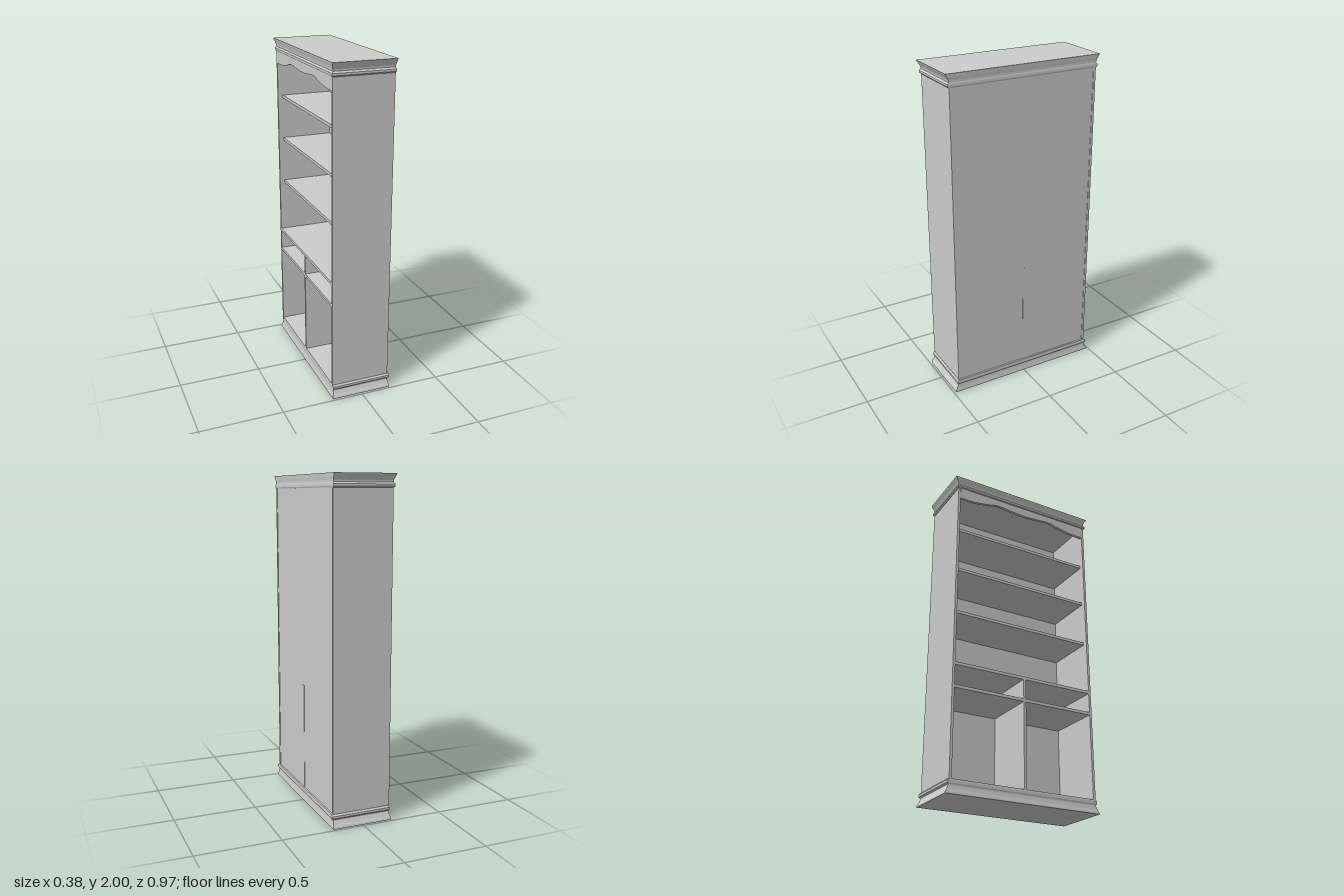
import * as THREE from 'three';

const material = new THREE.MeshStandardMaterial({ color: 0xcccccc, flatShading: true, side: THREE.DoubleSide });

// Box given by its lower and upper limits on each axis
function board(name, [x0, x1], [y0, y1], [z0, z1]) {
  const mesh = new THREE.Mesh(new THREE.BoxGeometry(x1 - x0, y1 - y0, z1 - z0), material);
  mesh.position.set((x0 + x1) / 2, (y0 + y1) / 2, (z0 + z1) / 2);
  mesh.name = name;
  return mesh;
}

// Solid moulding lofted through rectangles [y, xMin, xMax, zHalf], listed bottom to top
function moulding(name, levels) {
  const rings = levels.map(([y, x0, x1, z]) => [[x0, y, z], [x1, y, z], [x1, y, -z], [x0, y, -z]]);
  const positions = [];
  const quad = (a, b, c, d) => positions.push(...a, ...b, ...c, ...a, ...c, ...d);
  for (let i = 0; i < rings.length - 1; i++) {
    const lo = rings[i], hi = rings[i + 1];
    for (let k = 0; k < 4; k++) {
      const n = (k + 1) % 4;
      quad(lo[k], lo[n], hi[n], hi[k]);
    }
  }
  quad(...rings[rings.length - 1]);
  quad(...[...rings[0]].reverse());
  const geometry = new THREE.BufferGeometry();
  geometry.setAttribute('position', new THREE.Float32BufferAttribute(positions, 3));
  geometry.computeVertexNormals();
  const mesh = new THREE.Mesh(geometry, material);
  mesh.name = name;
  return mesh;
}

export function createModel() {
  const group = new THREE.Group();
  group.name = 'bookcase';

  // Plinth: flared foot, hollow neck and bead
  group.add(moulding('baseMoulding', [
    [0, -0.184, 0.185, 0.487],
    [0.01, -0.183, 0.184, 0.485],
    [0.025, -0.179, 0.181, 0.476],
    [0.045, -0.176, 0.179, 0.468],
    [0.052, -0.176, 0.181, 0.468],
    [0.06, -0.178, 0.189, 0.475],
    [0.073, -0.178, 0.189, 0.475],
    [0.083, -0.177, 0.188, 0.466],
    [0.083, -0.177, 0.178, 0.466],
  ]));

  // Crown: bead, neck and flared cornice
  group.add(moulding('crownMoulding', [
    [1.922, -0.18, 0.178, 0.466],
    [1.93, -0.186, 0.181, 0.475],
    [1.942, -0.186, 0.181, 0.475],
    [1.952, -0.179, 0.179, 0.466],
    [1.962, -0.18, 0.179, 0.467],
    [1.978, -0.184, 0.181, 0.475],
    [1.992, -0.189, 0.182, 0.484],
    [2, -0.19, 0.183, 0.487],
  ]));

  // Side walls
  for (const s of [1, -1]) {
    const z = [0.45 * s, 0.465 * s].sort((a, b) => a - b);
    group.add(board(s > 0 ? 'leftSidePanel' : 'rightSidePanel', [-0.18, 0.18], [0.07, 1.935], z));
  }

  // Back wall and the central divider that runs through it
  group.add(board('backPanel', [0.165, 0.177], [0.07, 1.935], [-0.452, 0.452]));
  group.add(board('divider', [-0.178, 0.179], [0.08, 0.74], [-0.008, 0.008]));

  // Shelves: [underside height, open edge x]
  const shelves = [[0.595, -0.178], [0.732, -0.178], [1.07, -0.15], [1.355, -0.15], [1.63, -0.15]];
  for (const [y, x] of shelves) {
    group.add(board('shelf', [x, 0.168], [y, y + 0.018], [-0.452, 0.452]));
  }

  // Scalloped valance over the opening
  const half = [[0.452, 1.85], [0.36, 1.852], [0.27, 1.865], [0.19, 1.882], [0.1, 1.876]];
  const edge = [...half, [0, 1.87], ...half.map(([z, y]) => [-z, y]).reverse()];
  const shape = new THREE.Shape();
  shape.moveTo(-0.452, 1.93);
  shape.lineTo(0.452, 1.93);
  shape.lineTo(...edge[0]);
  shape.splineThru(edge.slice(1).map(p => new THREE.Vector2(...p)));
  shape.closePath();
  const valance = new THREE.Mesh(
    new THREE.ExtrudeGeometry(shape, { depth: 0.016, bevelEnabled: false, curveSegments: 4 }), material);
  valance.rotation.y = -Math.PI / 2;
  valance.position.x = -0.166;
  valance.name = 'valance';
  group.add(valance);

  return group;
}
